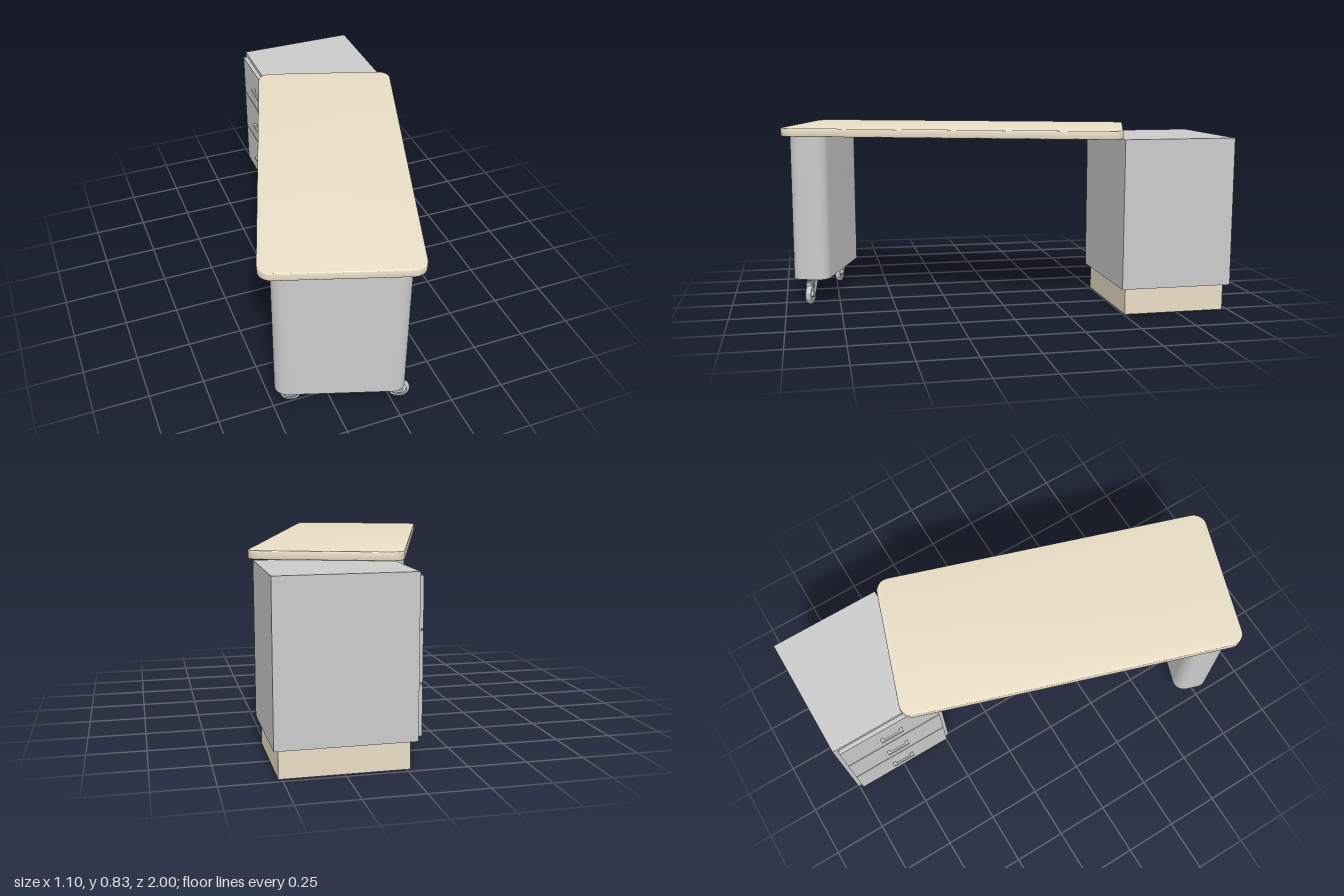
import * as THREE from 'three';
import { toCreasedNormals } from 'three/addons/utils/BufferGeometryUtils.js';

const grey = new THREE.MeshStandardMaterial({ color: 0xcccccc });
const beige = new THREE.MeshStandardMaterial({ color: 0xeadec6 });
const rubber = new THREE.MeshStandardMaterial({ color: 0xbcc8cc });

function add(parent, name, geometry, material, x = 0, y = 0, z = 0) {
  const mesh = new THREE.Mesh(geometry, material);
  mesh.name = name;
  mesh.position.set(x, y, z);
  parent.add(mesh);
  return mesh;
}

// Box given by its minimum and maximum corners
function box(parent, name, material, [x0, y0, z0], [x1, y1, z1]) {
  return add(parent, name, new THREE.BoxGeometry(x1 - x0, y1 - y0, z1 - z0), material,
    (x0 + x1) / 2, (y0 + y1) / 2, (z0 + z1) / 2);
}

// Upright slab with rounded vertical corners, standing on y = 0
function roundedSlab(w, d, h, r, bevel) {
  const s = new THREE.Shape();
  const a = w / 2 - r, b = d / 2 - r;
  s.absarc(a, b, r, 0, Math.PI / 2);
  s.absarc(-a, b, r, Math.PI / 2, Math.PI);
  s.absarc(-a, -b, r, Math.PI, Math.PI * 1.5);
  s.absarc(a, -b, r, Math.PI * 1.5, Math.PI * 2);
  s.closePath();
  const geo = new THREE.ExtrudeGeometry(s, {
    depth: h - 2 * bevel, curveSegments: 12, bevelEnabled: bevel > 0,
    bevelThickness: bevel, bevelSize: bevel, bevelOffset: -bevel, bevelSegments: 3,
  });
  geo.translate(0, 0, bevel).rotateX(-Math.PI / 2);
  return toCreasedNormals(geo, 0.6);
}

// Swivel caster: origin at floor level under its pivot, wheel trailing to +x
function makeCaster() {
  const caster = new THREE.Group();
  caster.name = 'caster';
  const ax = 0.026, ay = 0.048;
  add(caster, 'mountingStem', new THREE.CylinderGeometry(0.014, 0.014, 0.02, 20), grey, 0, 0.112, 0);
  add(caster, 'swivelPlate', new THREE.CylinderGeometry(0.028, 0.028, 0.006, 24), grey, 0, 0.115, 0);
  box(caster, 'forkCrown', grey, [-0.028, 0.1, -0.02], [0.028, 0.107, 0.02]);

  // Tapered fork cheeks on both sides of the wheel
  const cheek = new THREE.Shape();
  cheek.moveTo(-0.028, 0.104);
  cheek.lineTo(ax - 0.013, ay - 0.004);
  cheek.absarc(ax, ay, 0.014, Math.PI * 1.1, Math.PI * 2.05);
  cheek.lineTo(0.03, 0.104);
  cheek.closePath();
  for (const side of [-1, 1]) {
    const geo = new THREE.ExtrudeGeometry(cheek, { depth: 0.004, bevelEnabled: false });
    add(caster, 'forkCheek', toCreasedNormals(geo, 0.6), grey, 0, 0, side * 0.018 - 0.002);
  }
  box(caster, 'brakeTab', grey, [0.028, 0.092, -0.012], [0.048, 0.106, 0.012]);

  // Tyre with rounded tread, recessed hub and axle
  const tyre = [[0.033, -0.012], [0.041, -0.013], [0.046, -0.009], [0.048, 0], [0.046, 0.009],
    [0.041, 0.013], [0.033, 0.012], [0.033, -0.012]].map(([r, y]) => new THREE.Vector2(r, y));
  add(caster, 'tyre', toCreasedNormals(new THREE.LatheGeometry(tyre, 36).rotateX(Math.PI / 2), 0.8),
    rubber, ax, ay, 0);
  const disc = (name, r, w) => add(caster, name,
    new THREE.CylinderGeometry(r, r, w, 28).rotateX(Math.PI / 2), grey, ax, ay, 0);
  disc('wheelDisc', 0.0335, 0.012);
  disc('hub', 0.015, 0.03);
  disc('axle', 0.006, 0.046);
  return caster;
}

// Pedestal with plinth and three drawers facing -x
function makeCabinet() {
  const cabinet = new THREE.Group();
  cabinet.name = 'cabinet';
  box(cabinet, 'plinth', beige, [-0.015, 0, -0.975], [0.515, 0.12, -0.505]);
  box(cabinet, 'carcass', grey, [-0.04, 0.12, -1], [0.535, 0.794, -0.485]);
  box(cabinet, 'drawerBacking', grey, [-0.046, 0.14, -0.975], [-0.039, 0.775, -0.51]);

  const bottom = 0.135, pitch = 0.216, gap = 0.007;
  for (let i = 0; i < 3; i++) {
    const y = bottom + i * pitch, mid = y + (pitch - gap) / 2;
    box(cabinet, 'drawerFront', grey, [-0.06, y, -0.98], [-0.044, y + pitch - gap, -0.505]);
    box(cabinet, 'handleBar', grey, [-0.077, mid - 0.008, -0.798], [-0.069, mid + 0.008, -0.688]);
    for (const z of [-0.79, -0.696])
      box(cabinet, 'handlePost', grey, [-0.07, mid - 0.007, z - 0.007], [-0.059, mid + 0.007, z + 0.007]);
  }
  return cabinet;
}

export function createModel() {
  const model = new THREE.Group();
  model.name = 'desk';
  model.add(makeCabinet());

  // Swung worktop with its rolling leg
  const wing = new THREE.Group();
  wing.name = 'swivelTable';
  wing.position.set(0, 0, 0.17);
  wing.rotation.y = -Math.atan(1 / 3);
  model.add(wing);
  add(wing, 'worktop', roundedSlab(0.669, 1.56, 0.038, 0.06, 0.004), beige, 0, 0.795, 0);
  add(wing, 'leg', roundedSlab(0.568, 0.174, 0.675, 0.056, 0), grey, 0, 0.12, 0.667);
  for (const x of [-0.24, 0.24]) {
    const caster = makeCaster();
    caster.position.set(x, 0, 0.667);
    wing.add(caster);
  }
  return model;
}
